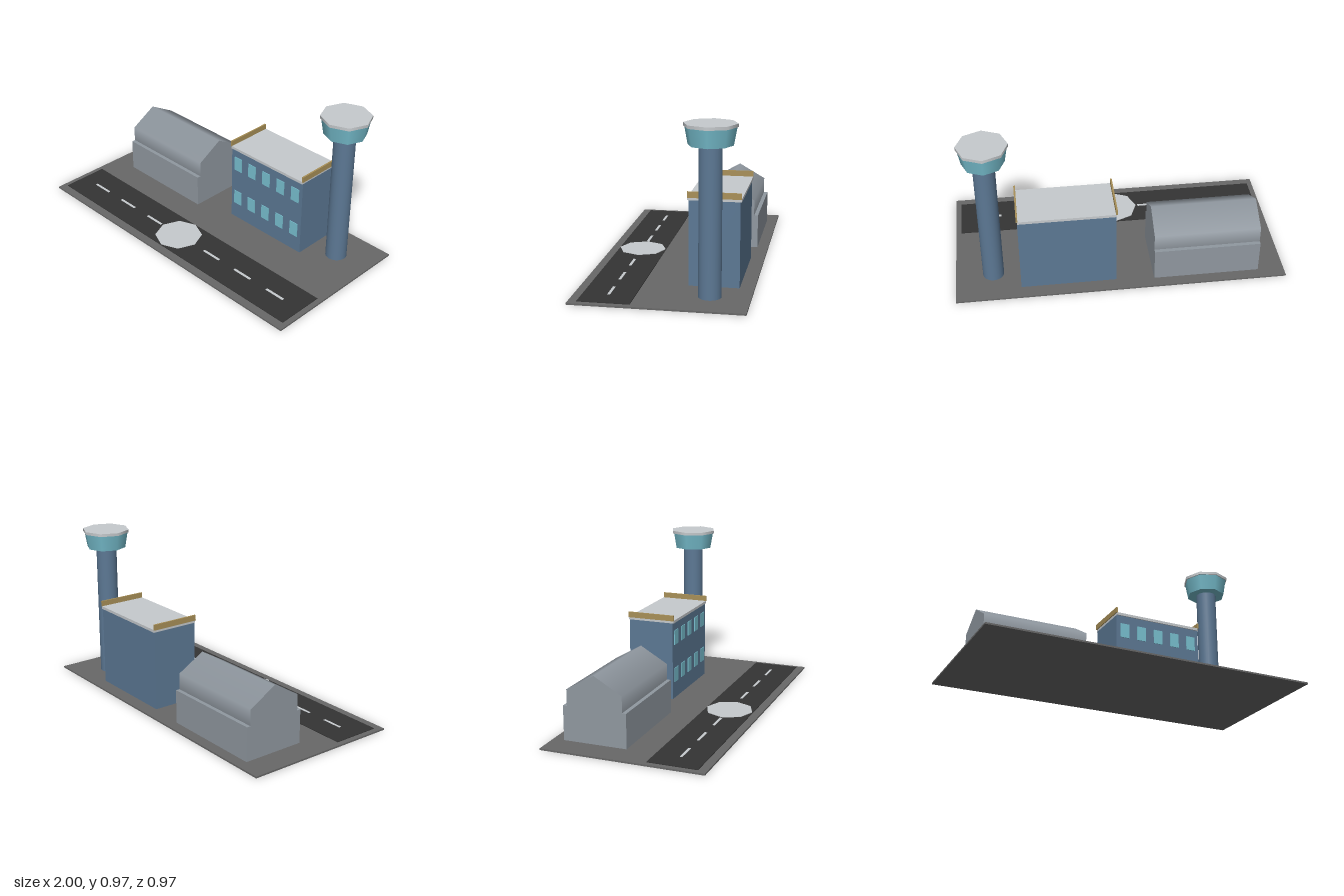
import * as THREE from 'three';

const mat = (name, color) => {
  const m = new THREE.MeshStandardMaterial({ color });
  m.name = name;
  return m;
};

export function createModel() {
  const group = new THREE.Group();
  const ground = mat('ground grey', 0x686868);
  const asphalt = mat('asphalt', 0x343434);
  const pale = mat('pale grey', 0xc6cacd);
  const metal = mat('hangar metal', 0x9098a0);
  const wall = mat('blue wall', 0x5c7894);
  const glass = mat('glass', 0x78c0d0);
  const gold = mat('gold trim', 0xa89058);

  const add = (name, geometry, material, x, y, z) => {
    const mesh = new THREE.Mesh(geometry, material);
    mesh.name = name;
    mesh.position.set(x, y, z);
    group.add(mesh);
    return mesh;
  };
  // Box given by its ranges on each axis
  const box = (name, material, [x0, x1], [y0, y1], [z0, z1]) =>
    add(name, new THREE.BoxGeometry(x1 - x0, y1 - y0, z1 - z0), material,
      (x0 + x1) / 2, (y0 + y1) / 2, (z0 + z1) / 2);
  // Upright cylinder given by its height range
  const drum = (name, material, rTop, rBottom, [y0, y1], sides, x, z) =>
    add(name, new THREE.CylinderGeometry(rTop, rBottom, y1 - y0, sides), material, x, (y0 + y1) / 2, z);

  // Ground, runway and centre line
  box('ground', ground, [-1, 1], [0, 0.01], [-0.485, 0.485]);
  box('runway', asphalt, [-0.968, 0.968], [0.01, 0.014], [0.142, 0.435]);
  for (let i = -3; i <= 3; i++) {
    const x = i * 0.258;
    box('runwayDash', pale, [x - 0.066, x + 0.066], [0.012, 0.0155], [0.281, 0.297]);
  }
  drum('landingPad', pale, 0.145, 0.145, [0.012, 0.017], 8, -0.035, 0.288);

  // Hangar with a six-sided vault, ridge upwards
  box('hangarWalls', metal, [-0.84, -0.197], [0.01, 0.216], [-0.418, -0.032]);
  const vault = new THREE.CylinderGeometry(0.195, 0.195, 0.643, 6, 1, false, Math.PI / 6);
  vault.rotateZ(Math.PI / 2);
  add('hangarRoof', vault, metal, -0.5185, 0.216, -0.225);

  // Terminal block, roof slab and end parapets
  box('terminalWalls', wall, [0.032, 0.608], [0.01, 0.503], [-0.402, -0.112]);
  box('terminalRoof', pale, [0.032, 0.608], [0.503, 0.52], [-0.409, -0.105]);
  for (const x of [0.031, 0.609]) {
    box('parapet', gold, [x - 0.005, x + 0.005], [0.518, 0.553], [-0.409, -0.105]);
  }
  // Two rows of five windows on the front
  for (const y of [0.161, 0.405]) {
    for (let i = 0; i < 5; i++) {
      const x = 0.087 + i * 0.1165;
      box('window', glass, [x - 0.03, x + 0.03], [y - 0.046, y + 0.046], [-0.114, -0.108]);
    }
  }

  // Control tower
  const [tx, tz] = [0.772, -0.259];
  drum('towerShaft', wall, 0.064, 0.064, [0.01, 0.852], 24, tx, tz);
  drum('towerCab', glass, 0.141, 0.123, [0.85, 0.949], 8, tx, tz);
  drum('towerRoof', pale, 0.148, 0.148, [0.949, 0.967], 8, tx, tz);

  return group;
}
